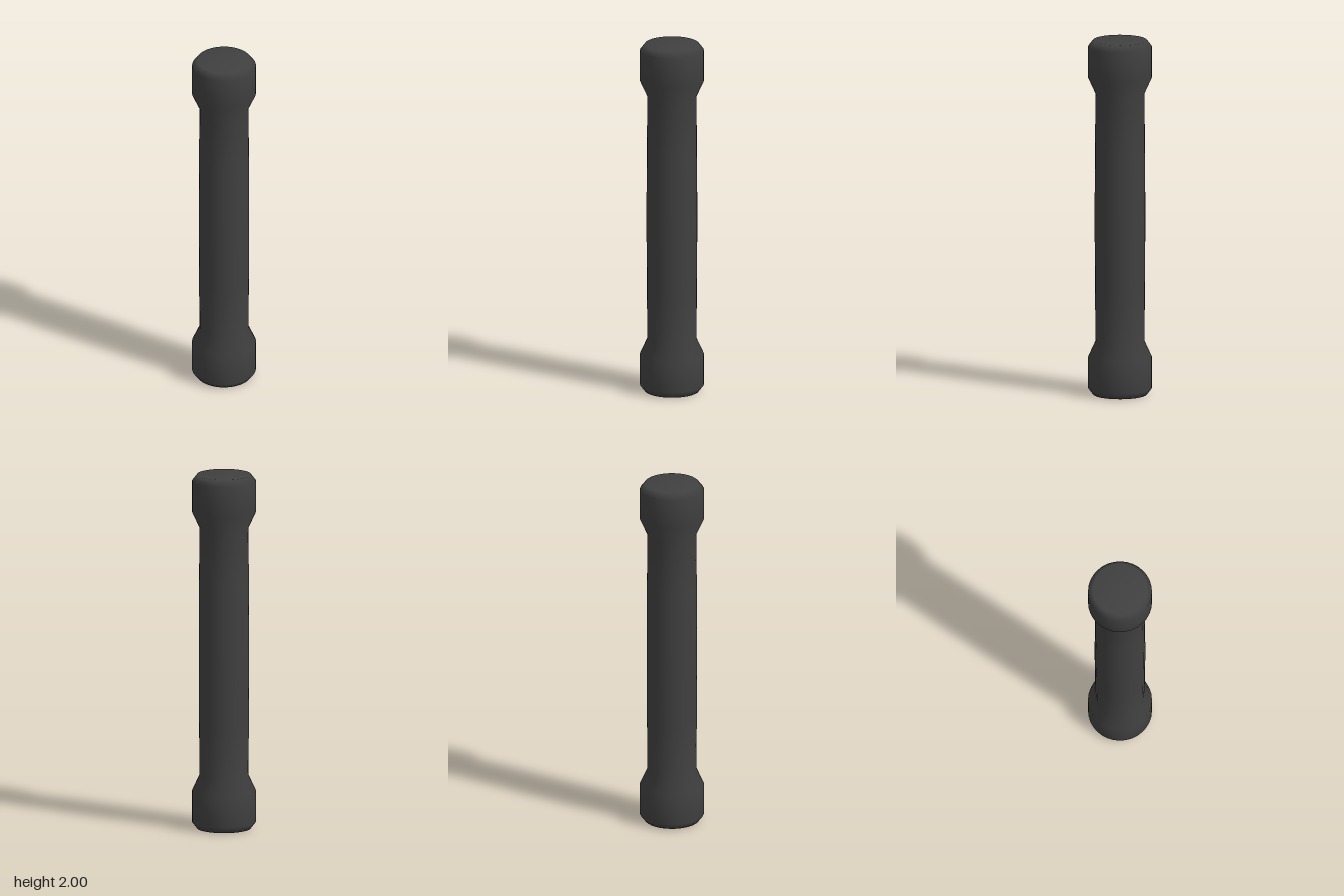
import * as THREE from 'three';

const SIDES = 32;
const material = new THREE.MeshStandardMaterial({ color: 0x404040 });

// Turned part from [radius, y] pairs listed bottom to top
function turned(name, profile) {
  const points = profile.map(([r, y]) => new THREE.Vector2(r, y));
  const mesh = new THREE.Mesh(new THREE.LatheGeometry(points, SIDES), material);
  mesh.name = name;
  return mesh;
}

export function createModel() {
  const group = new THREE.Group();
  group.name = 'dumbbell';

  // Chamfered end with a tapered neck running into the grip
  const end = [
    [0, 0], [0.15, 0], [0.177, 0.035], [0.177, 0.21], [0.136, 0.30], [0.138, 0.60],
  ];
  group.add(turned('lowerEnd', end));
  group.add(turned('upperEnd', end.map(([r, y]) => [r, 2 - y]).reverse()));

  // Slightly swelling grip between the ends
  group.add(turned('grip', [[0.138, 0.60], [0.14, 0.87], [0.14, 1.13], [0.138, 1.40]]));

  return group;
}
